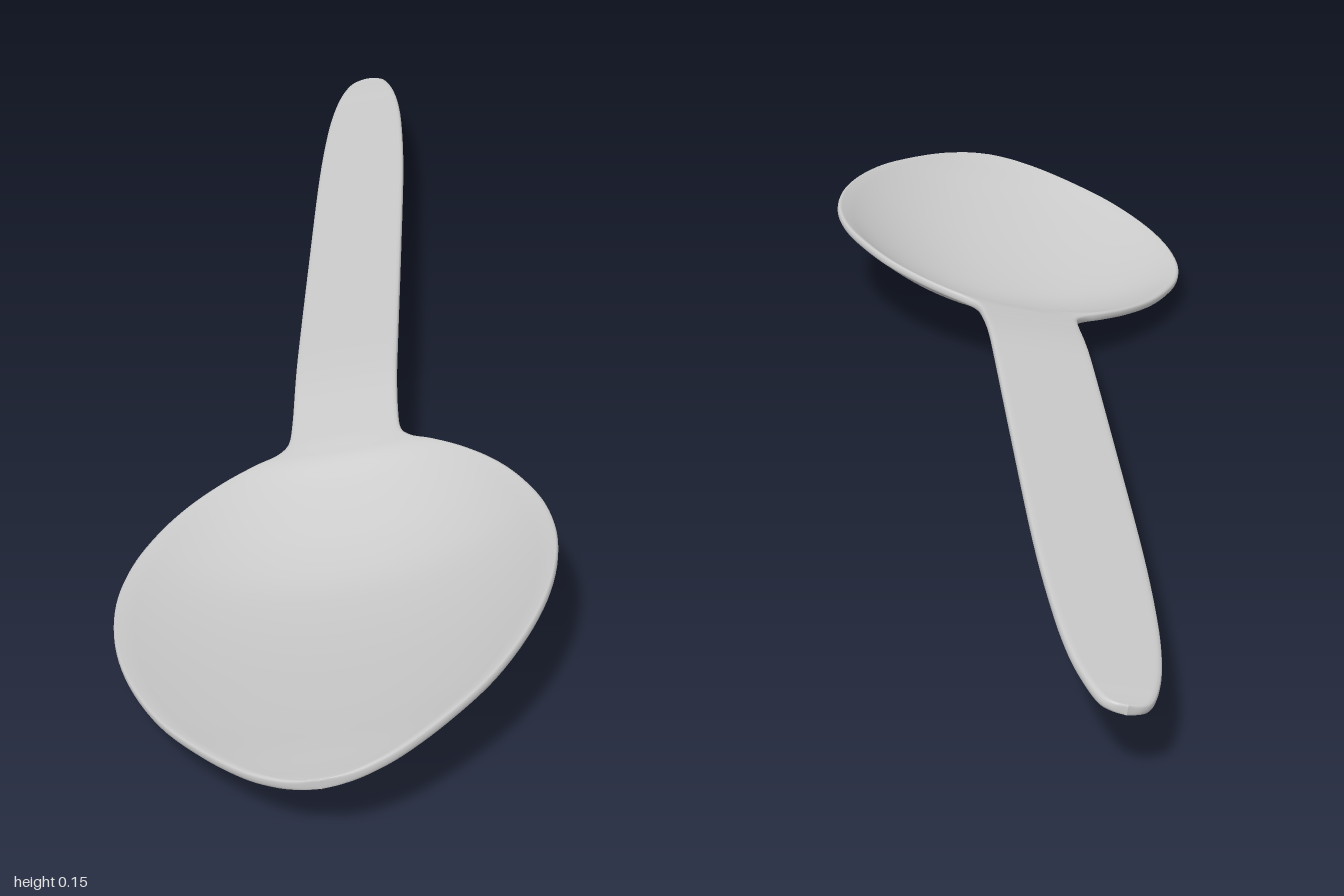
import * as THREE from 'three';

// Stations along the spoon: z, half width, height of the top edge, total depth
const STATIONS = [
  [-1, 0, 0.005, 0.012], [-0.995, 0.018, 0.005, 0.012], [-0.98, 0.031, 0.005, 0.012],
  [-0.94, 0.043, 0.006, 0.012], [-0.88, 0.053, 0.006, 0.012], [-0.78, 0.061, 0.007, 0.012],
  [-0.6, 0.067, 0.008, 0.012], [-0.3, 0.069, 0.011, 0.012], [0, 0.07, 0.014, 0.012],
  [0.1, 0.07, 0.012, 0.012], [0.18, 0.071, 0.004, 0.012], [0.23, 0.075, -0.002, 0.012],
  [0.255, 0.09, -0.004, 0.015], [0.275, 0.118, -0.003, 0.021], [0.31, 0.158, -0.002, 0.038],
  [0.36, 0.2, -0.001, 0.057], [0.42, 0.234, 0, 0.075], [0.49, 0.26, 0, 0.085],
  [0.57, 0.271, 0, 0.082], [0.66, 0.263, 0, 0.072], [0.75, 0.237, 0, 0.058],
  [0.84, 0.193, 0, 0.042], [0.91, 0.14, 0, 0.028], [0.96, 0.091, 0, 0.019],
  [0.985, 0.055, 0, 0.014], [0.996, 0.028, 0, 0.012], [1, 0, 0, 0.012],
];
const THICK = 0.012, ACROSS = 28, ARC = 6, STEPS = 130, TILT = 0.195;

// One closed cross-section: dished top, rounded right edge, underside, rounded left edge
function section(w, top, depth) {
  const r = Math.min(THICK / 2, w), inner = w - r, pts = [];
  const dish = s => top - Math.max(0, depth - THICK) * (1 - Math.pow(Math.abs(s), 2.2));
  const edge = side => {
    for (let k = 1; k < ARC; k++) {
      const a = Math.PI * k / ARC;
      pts.push([side * (inner + r * Math.pow(Math.sin(a), 0.6)),
        top - THICK / 2 + side * Math.cos(a) * THICK / 2]);
    }
  };
  for (const side of [1, -1]) {
    for (let k = 0; k <= ACROSS; k++) {
      const s = side * (2 * k / ACROSS - 1);
      pts.push([s * inner, dish(s) - (side < 0 ? THICK : 0)]);
    }
    edge(side);
  }
  return pts;
}

function spoonGeometry() {
  const curve = f => new THREE.CatmullRomCurve3(STATIONS.map(f), false, 'catmullrom', 0.5);
  const outline = curve(([z, w, t]) => new THREE.Vector3(w, t, z));
  const depths = curve(([z, , , d]) => new THREE.Vector3(d, 0, z));
  const positions = [], index = [];
  let n = 0;
  for (let i = 0; i <= STEPS; i++) {
    const p = outline.getPoint(i / STEPS), d = depths.getPoint(i / STEPS).x;
    const pts = section(Math.max(0, p.x), p.y, d);
    n = pts.length;
    for (const [x, y] of pts) positions.push(x, y, THREE.MathUtils.clamp(p.z, -1, 1));
  }
  for (let i = 0; i < STEPS; i++) {
    for (let j = 0; j < n; j++) {
      const a = i * n + j, b = i * n + (j + 1) % n;
      index.push(a, a + n, b, b, a + n, b + n);
    }
  }
  const g = new THREE.BufferGeometry();
  g.setAttribute('position', new THREE.Float32BufferAttribute(positions, 3));
  g.setIndex(index);
  g.rotateZ(TILT); // the spoon rests tipped to one side
  g.computeBoundingBox();
  const { min, max } = g.boundingBox;
  g.translate(-(min.x + max.x) / 2, -min.y, 0);
  g.computeVertexNormals();
  return g;
}

export function createModel() {
  const group = new THREE.Group();
  group.name = 'spoon';
  // Bowl, neck and handle are one continuous skin
  const body = new THREE.Mesh(spoonGeometry(), new THREE.MeshStandardMaterial({ color: 0xcccccc }));
  body.name = 'bowlAndHandle';
  group.add(body);
  return group;
}
